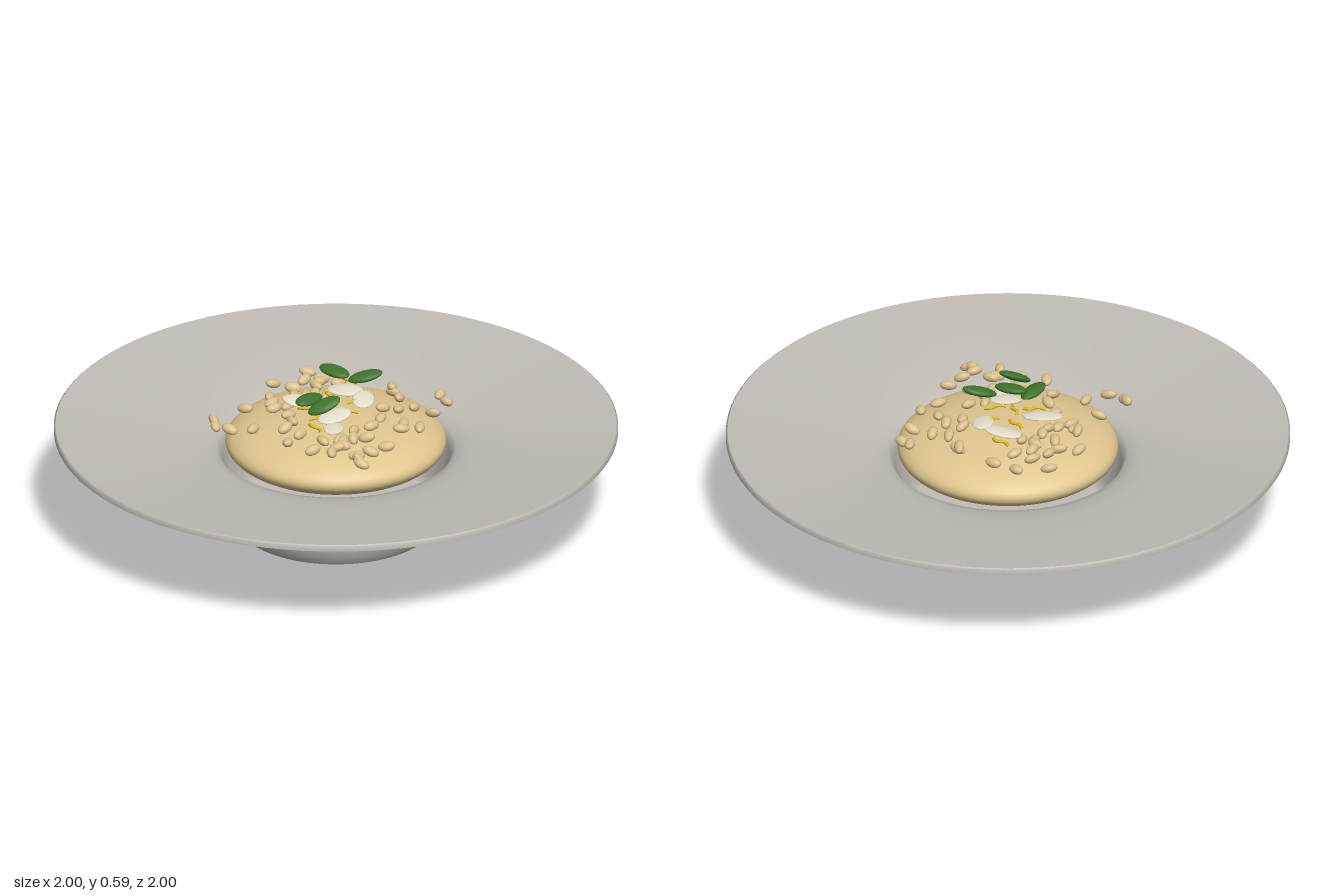
import * as THREE from 'three';

const mat = (name, color) => {
  const m = new THREE.MeshStandardMaterial({ color });
  m.name = name;
  return m;
};

// Small repeatable pseudo-random generator
function seeded(seed) {
  return () => {
    seed = (seed * 16807) % 2147483647;
    return seed / 2147483647;
  };
}

export function createModel() {
  const model = new THREE.Group();
  model.name = 'platedDish';
  const stoneware = mat('warm grey stoneware', 0xc0bcb5);
  const cream = mat('golden cream', 0xe0c78f);
  const grain = mat('toasted grain', 0xdabf8c);
  const almond = mat('pale almond', 0xe6e0cc);
  const zest = mat('yellow zest', 0xe0c020);
  const leaf = mat('green leaf', 0x3f722c);
  const ball = new THREE.SphereGeometry(1, 16, 10);

  // Flattened ellipsoid: centre, half sizes, yaw, upward tilt along its length, roll
  function pod(parent, name, material, pos, size, yaw = 0, tilt = 0, roll = 0) {
    const m = new THREE.Mesh(ball, material);
    m.name = name;
    m.position.set(...pos);
    m.scale.set(...size);
    m.rotation.set(roll, yaw, tilt, 'YZX');
    parent.add(m);
    return m;
  }

  function group(name) {
    const g = new THREE.Group();
    g.name = name;
    model.add(g);
    return g;
  }

  // Wide-rimmed bowl, split into lathes where its edges are sharp
  const bowl = group('bowl');
  const profiles = {
    foot: [[0, 0], [0.35, 0]],
    outerWall: [[0.35, 0], [0.378, 0.04], [0.385, 0.08], [0.413, 0.265], [0.418, 0.275],
      [0.45, 0.284], [0.55, 0.304], [0.75, 0.33], [1, 0.36]],
    rimEdge: [[1, 0.36], [1, 0.377], [0.994, 0.383]],
    inside: [[0.994, 0.383], [0.8, 0.362], [0.65, 0.345], [0.54, 0.33], [0.47, 0.315], [0.425, 0.298],
      [0.402, 0.27], [0.37, 0.1], [0.34, 0.065], [0, 0.06]],
  };
  for (const [name, pts] of Object.entries(profiles)) {
    const geo = new THREE.LatheGeometry(pts.map(([x, y]) => new THREE.Vector2(x, y)), 96);
    const m = new THREE.Mesh(geo, stoneware);
    m.name = name;
    bowl.add(m);
  }

  // Soft dome of cream filling the well
  const dome = new THREE.Mesh(new THREE.SphereGeometry(1, 64, 32), cream);
  dome.name = 'creamDome';
  dome.position.y = 0.322;
  dome.scale.set(0.392, 0.108, 0.392);
  model.add(dome);

  // Grains scattered around the top: x, z in hundredths
  const grains = group('grains');
  const spots = [
    -28, -24, -18, -30, -9, -30, 6, -27, 23, -32, 27, -30, 20, -20, 28, -20, 31, -7, 27, -1,
    24, -7, 15, -6, 13, -21, 30, 13, 28, 20, 28, 28, 18, 23, 18, 30, 10, 30, 9, 22,
    0, 31, 0, 23, -7, 22, -18, 26, -32, 30, -24, 32, -28, 16, -21, 8, -26, 3, -32, -8,
    -25, -10, -21, -5, -18, -17, -24, -16, -13, -21, -11, -11, -16, 0, -15, -9, 17, 3, 21, 12,
    16, 13, 13, 17, 18, -13, -18, 4, -13, 11, -8, 16, 13, 8, -20, -21, 7, -26, -30, 32,
    30, 29, 26, 26, -17, -13, 17, 25, 12, -12, -24, 5, -16, -5, 15, 18,
  ];
  const rnd = seeded(77);
  for (let i = 0; i < spots.length; i += 2) {
    const y = 0.422 + rnd() * 0.018;
    pod(grains, 'grain', grain, [spots[i] / 100, y, spots[i + 1] / 100],
      [0.031, 0.016, 0.019], rnd() * Math.PI, (rnd() - 0.5) * 0.7, rnd());
  }

  // Almond flakes: x, y, z, half length, half width, yaw, tilt
  const flakes = group('almondFlakes');
  [
    [-0.045, 0.455, -0.13, 0.07, 0.043, 0.15, 0.08],
    [-0.12, 0.455, 0.035, 0.075, 0.042, 0.25, -0.08],
    [0.045, 0.46, 0.08, 0.065, 0.045, 1.0, 0.15],
    [0.09, 0.45, 0.15, 0.06, 0.035, 1.9, -0.1],
    [0.05, 0.455, -0.1, 0.06, 0.04, 2.0, 0.1],
  ].forEach(([x, y, z, l, w, yaw, tilt]) =>
    pod(flakes, 'almondFlake', almond, [x, y, z], [l, 0.009, w], yaw, tilt, 0.1));

  // Curled zest strips: x, z, yaw
  const strips = group('zestStrips');
  const curl = new THREE.CatmullRomCurve3([
    new THREE.Vector3(-0.04, 0, 0), new THREE.Vector3(-0.012, 0.004, 0.006),
    new THREE.Vector3(0.015, 0.002, -0.005), new THREE.Vector3(0.04, 0, 0.003)]);
  const strip = new THREE.TubeGeometry(curl, 12, 0.006, 6);
  [[-0.07, -0.2, -0.3], [-0.06, -0.06, -0.5], [0.03, -0.08, 1.2], [-0.01, 0.03, -0.9],
    [0.06, 0.02, 0.7], [-0.07, 0.07, 0.4], [0.04, 0.19, -0.4], [0.0, 0.11, 1.0]]
    .forEach(([x, z, yaw]) => {
      const m = new THREE.Mesh(strip, zest);
      m.name = 'zestStrip';
      m.position.set(x, 0.453, z);
      m.rotation.y = yaw;
      strips.add(m);
    });

  // Green leaves on top: x, y, z, yaw, tilt, roll
  const leaves = group('leaves');
  [
    [0.075, 0.562, -0.075, 0.6, 0.25, 0.1],
    [-0.025, 0.575, -0.028, -0.05, -0.06, 0.1],
    [-0.05, 0.507, 0.1, 1.45, -0.05, 0.1],
    [0.042, 0.523, 0.14, 0.75, 0.42, 0.3],
  ].forEach(([x, y, z, yaw, tilt, roll]) =>
    pod(leaves, 'leaf', leaf, [x, y, z], [0.063, 0.015, 0.033], yaw, tilt, roll));

  return model;
}
